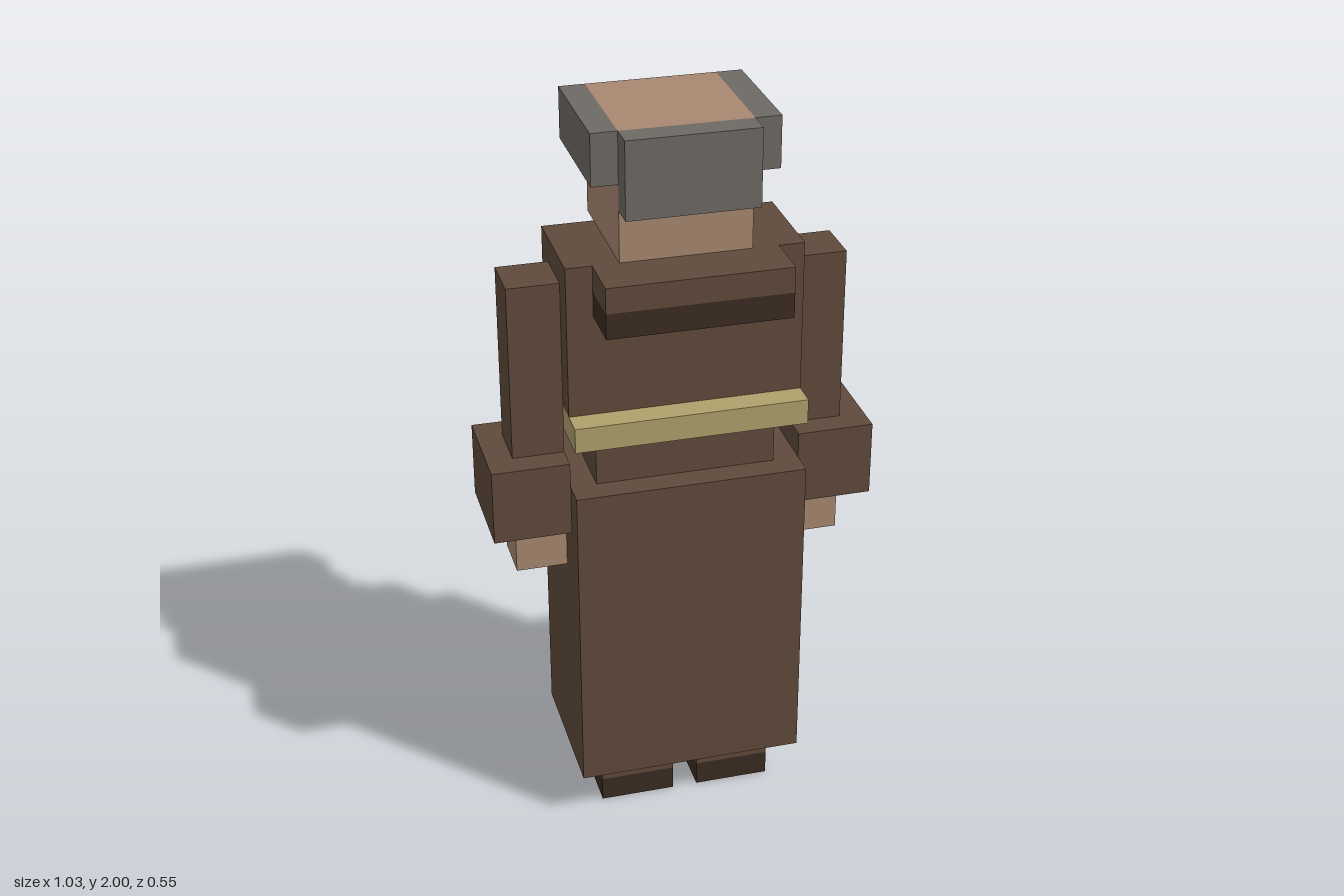
import * as THREE from 'three';

const U = 2 / 29; // one block; the figure is 29 blocks tall

const material = (name, color) => {
  const m = new THREE.MeshStandardMaterial({ color });
  m.name = name;
  return m;
};

export function createModel() {
  const robe = material('robe brown', 0x604a3b);
  const dark = material('dark brown', 0x3a2b22);
  const skin = material('skin', 0xa88871);
  const hair = material('grey hair', 0x6e6964);
  const rope = material('rope tan', 0xb0a16c);
  const ropeShade = material('rope dark tan', 0x82713f);

  const model = new THREE.Group();
  model.name = 'robedFigure';

  // Box between two corners, measured in blocks
  function box(parent, name, mat, [x0, x1], [y0, y1], [z0, z1]) {
    const mesh = new THREE.Mesh(new THREE.BoxGeometry((x1 - x0) * U, (y1 - y0) * U, (z1 - z0) * U), mat);
    mesh.position.set((x0 + x1) / 2 * U, (y0 + y1) / 2 * U, (z0 + z1) / 2 * U);
    mesh.name = name;
    parent.add(mesh);
  }
  // The same box on both sides of x = 0
  function pair(parent, name, mat, [x0, x1], y, z) {
    box(parent, name + 'Left', mat, [x0, x1], y, z);
    box(parent, name + 'Right', mat, [-x1, -x0], y, z);
  }
  const group = (name) => {
    const g = new THREE.Group();
    g.name = name;
    model.add(g);
    return g;
  };

  // Feet and ankles
  const legs = group('legs');
  pair(legs, 'shoe', dark, [0.5, 3.5], [0, 1], [-3, 2]);
  pair(legs, 'ankle', robe, [0.5, 3.5], [1, 2], [-1, 2]);

  // Robe
  const body = group('body');
  box(body, 'skirt', robe, [-4.5, 4.5], [2, 15], [-3, 3]);
  box(body, 'waist', robe, [-3.5, 3.5], [15, 17], [-2, 2]);
  box(body, 'chest', robe, [-4.5, 4.5], [18, 24], [-2, 2]);
  box(body, 'hood', robe, [-3.5, 3.5], [23, 24], [2, 4]);
  box(body, 'hoodLining', dark, [-3.5, 3.5], [22, 23], [2, 4]);

  // Rope belt, shoulder cords and hanging end
  const cords = group('ropes');
  box(cords, 'belt', rope, [-4.5, 4.5], [17, 18], [-3, 3]);
  pair(cords, 'cord', rope, [1.5, 2.5], [18, 23], [-3, -2]);
  box(cords, 'knot', ropeShade, [-2.5, -1.5], [15, 17], [-3, -2]);
  box(cords, 'hangingCord', ropeShade, [-2.4, -1.6], [9, 15], [-3.05, -3]);

  // Arms
  const arms = group('arms');
  pair(arms, 'arm', robe, [4.5, 6.5], [16, 23], [-1, 1]);
  pair(arms, 'sleeve', robe, [4.5, 7.5], [13, 16], [-2, 2]);
  pair(arms, 'hand', skin, [4.5, 6.5], [11, 13], [-1, 1]);

  // Head with bald crown and fringe of hair
  const head = group('head');
  box(head, 'face', skin, [-2.5, 2.5], [24, 27], [-3, 2]);
  box(head, 'crown', skin, [-2.5, 2.5], [28, 29], [-3, 2]);
  box(head, 'hairBand', hair, [-2.5, 2.5], [27, 28], [-3, 2]);
  pair(head, 'hairSide', hair, [2.5, 3.5], [27, 29], [-3, 2]);
  box(head, 'hairBack', hair, [-2.5, 2.5], [26, 29], [2, 3]);
  box(head, 'nose', skin, [-0.5, 0.5], [25, 26], [-4, -3]);
  pair(head, 'eye', dark, [0.5, 1.5], [26, 27], [-3.05, -3]);
  box(head, 'beard', robe, [-1.5, 1.5], [24, 25], [-3.05, -3]);
  box(head, 'chinBeard', robe, [-1.5, 1.5], [23.95, 24], [-3.05, -2]);

  return model;
}
